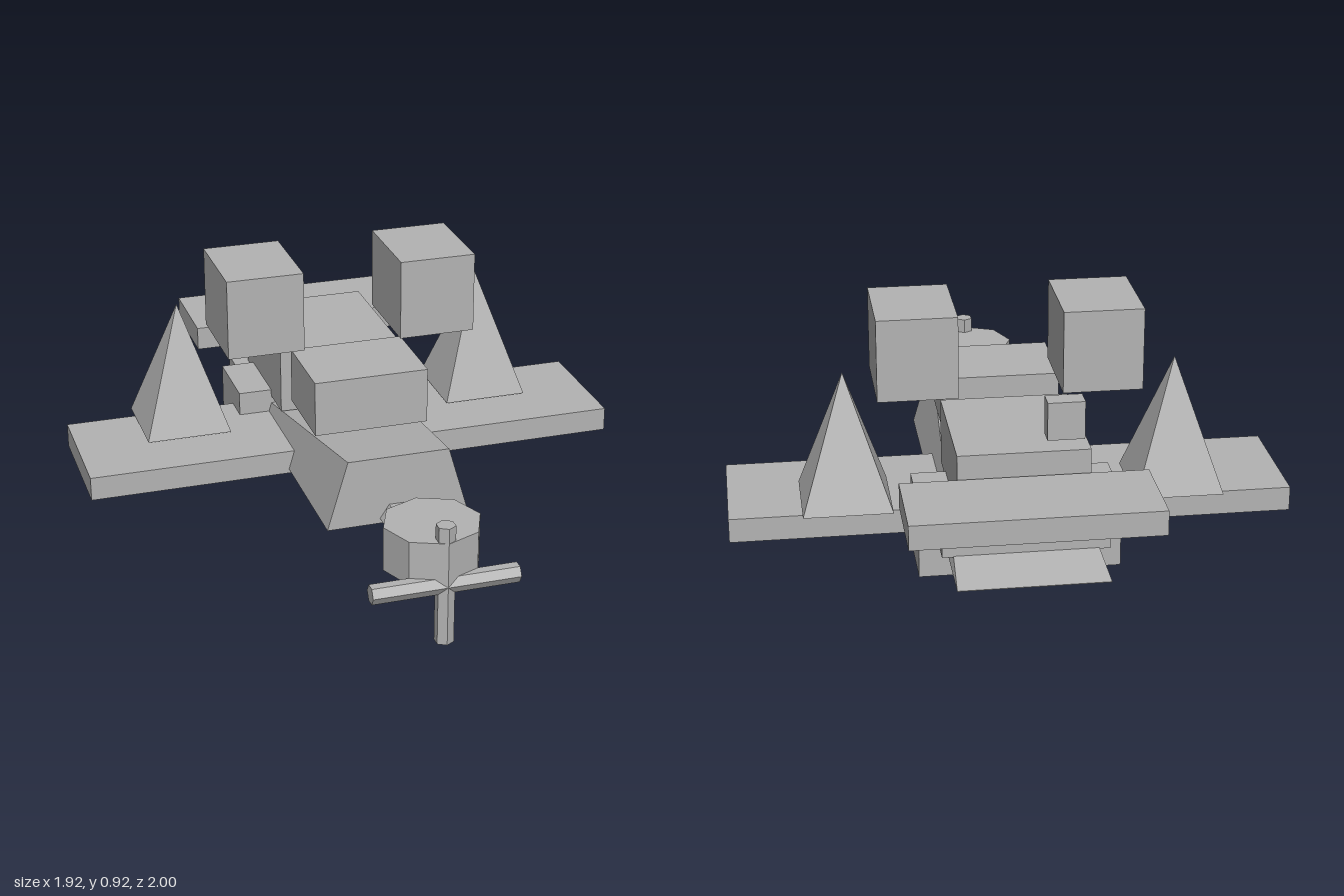
import * as THREE from 'three';

export function createModel() {
  const model = new THREE.Group();
  model.name = 'blockPlane';
  const grey = new THREE.MeshStandardMaterial({ color: 0xb3b3b3, flatShading: true });
  grey.name = 'plain grey';

  const add = (name, geometry, x = 0, y = 0, z = 0) => {
    const mesh = new THREE.Mesh(geometry, grey);
    mesh.name = name;
    mesh.position.set(x, y, z);
    model.add(mesh);
    return mesh;
  };
  // Box given by its limits on each axis
  const box = (name, x0, x1, y0, y1, z0, z1) =>
    add(name, new THREE.BoxGeometry(x1 - x0, y1 - y0, z1 - z0),
      (x0 + x1) / 2, (y0 + y1) / 2, (z0 + z1) / 2);

  // Wing, body blocks and tail
  box('wing', -0.96, 0.96, 0.18, 0.265, -0.437, 0.013);
  box('lowerBody', -0.34, 0.34, 0.088, 0.35, -0.592, -0.332);
  box('rearBody', -0.278, 0.278, 0.225, 0.325, -0.735, -0.45);
  box('cabin', -0.22, 0.22, 0.325, 0.555, -0.673, -0.193);
  box('canopy', -0.203, 0.203, 0.402, 0.6, -0.113, 0.192);
  box('tailplane', -0.41, 0.41, 0.39, 0.475, -1, -0.682);
  box('tailBlock', -0.195, -0.072, 0.6, 0.73, -0.69, -0.622);

  // Fuselage: wedge that thins to a flat edge at the tail
  const fuselage = new THREE.BoxGeometry(0.5, 1, 1.412);
  const p = fuselage.attributes.position;
  for (let i = 0; i < p.count; i++) {
    const top = p.getY(i) > 0, front = p.getZ(i) > 0;
    if (top && front) p.setX(i, Math.sign(p.getX(i)) * 0.178);
    p.setY(i, top && front ? 0.44 : top ? 0.197 : 0.195);
  }
  fuselage.computeVertexNormals();
  add('fuselage', fuselage, 0, 0, -0.213);

  // Mirrored upper blocks and wing spikes
  for (const [side, s] of [['left', 1], ['right', -1]]) {
    add(side + 'UpperBlock', new THREE.BoxGeometry(0.273, 0.288, 0.335), s * 0.313, 0.772, -0.197);
    const spike = new THREE.ConeGeometry(0.303 / Math.SQRT2, 0.455, 4).rotateY(Math.PI / 4);
    add(side + 'WingSpike', spike, s * 0.562, 0.503, -0.333);
  }

  // Nose strut, engine drum and crossed propeller
  const strut = new THREE.CylinderGeometry(0.065, 0.065, 0.315, 6)
    .rotateY(Math.PI / 6).rotateX(Math.PI / 2).scale(1, 0.87, 1);
  add('noseStrut', strut, 0, 0.213, 0.65);
  add('engineDrum', new THREE.CylinderGeometry(0.165, 0.165, 0.155, 8), 0, 0.293, 0.835);
  add('verticalBlade', new THREE.CylinderGeometry(0.033, 0.033, 0.423, 6), 0, 0.2115, 0.967);
  add('horizontalBlade', new THREE.CylinderGeometry(0.033, 0.033, 0.5, 6).rotateZ(Math.PI / 2), 0, 0.2115, 0.967);

  return model;
}
